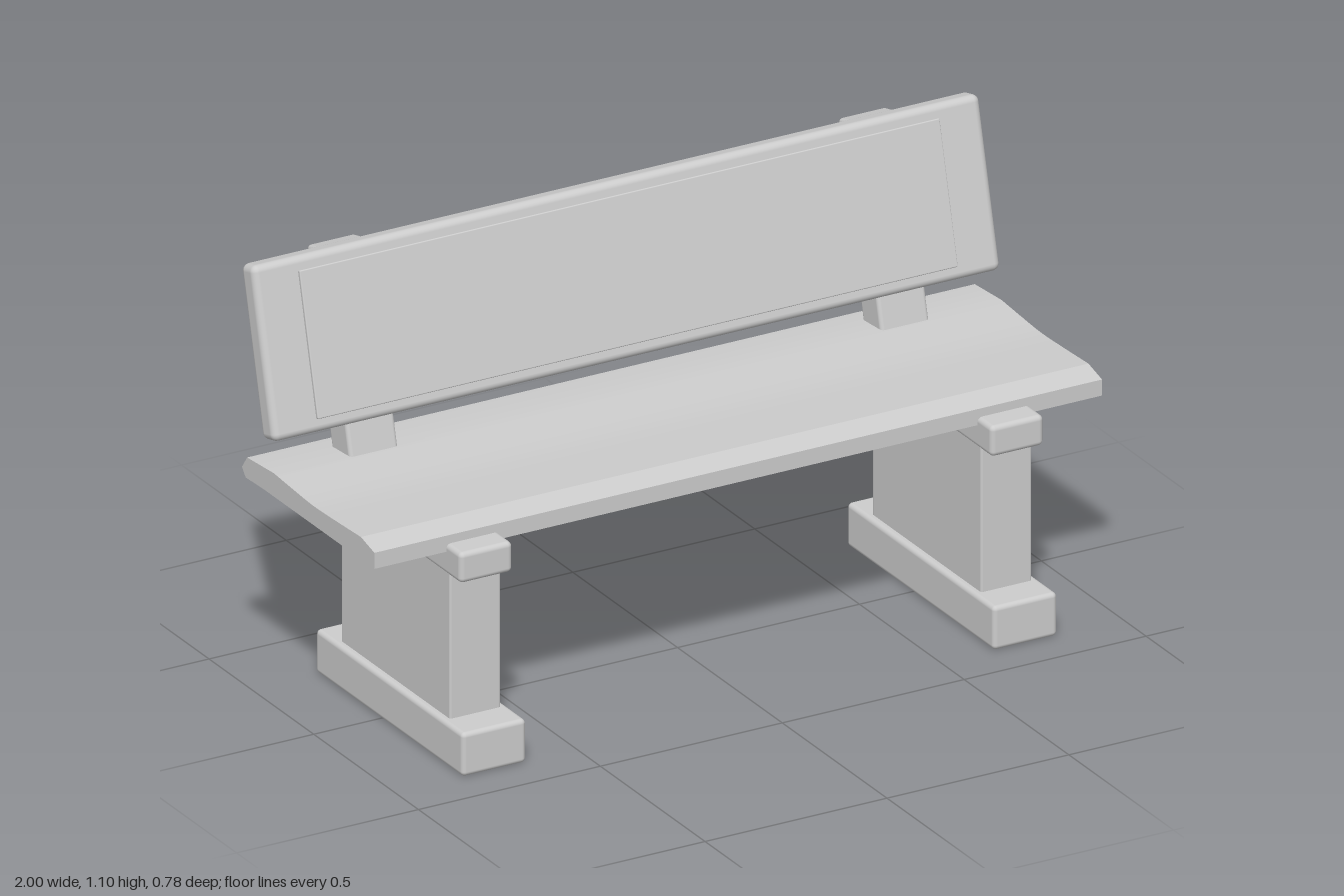
import * as THREE from 'three';
import { toCreasedNormals } from 'three/addons/utils/BufferGeometryUtils.js';
import { RoundedBoxGeometry } from 'three/addons/geometries/RoundedBoxGeometry.js';

const stone = new THREE.MeshStandardMaterial({ color: 0xcccccc });
stone.name = 'pale stone';

const TILT = -0.244; // backward lean of the backrest

function add(parent, name, geometry, x, y, z) {
  const mesh = new THREE.Mesh(geometry, stone);
  mesh.name = name;
  mesh.position.set(x, y, z);
  parent.add(mesh);
  return mesh;
}

const block = (w, h, d, r) => new RoundedBoxGeometry(w, h, d, 3, r);

// Seat plank: side profile (z, y) with a gently dished top, extruded along x
function seatGeometry() {
  const s = new THREE.Shape();
  s.moveTo(0.29, 0.55);
  s.lineTo(0.29, 0.592);
  s.lineTo(0.225, 0.608);
  s.splineThru([[0.11, 0.603], [0, 0.6], [-0.1, 0.605], [-0.19, 0.611]].map(p => new THREE.Vector2(...p)));
  s.lineTo(-0.318, 0.602);
  s.lineTo(-0.343, 0.568);
  s.lineTo(-0.325, 0.547);
  s.lineTo(-0.24, 0.55);
  s.closePath();
  const g = new THREE.ExtrudeGeometry(s, { depth: 2, bevelEnabled: false, curveSegments: 5 });
  g.rotateY(-Math.PI / 2).translate(1, 0, 0);
  return toCreasedNormals(g, 0.2);
}

// One support: foot, leg, seat bracket, leaning post and its bolt
function support(side) {
  const g = new THREE.Group();
  g.name = side > 0 ? 'leftSupport' : 'rightSupport';
  g.position.x = 0.73 * side;
  add(g, 'foot', block(0.176, 0.114, 0.703, 0.012), 0, 0.06, 0.043);
  add(g, 'leg', block(0.14, 0.42, 0.52, 0.006), 0, 0.315, 0.043);
  add(g, 'seatBracket', block(0.145, 0.08, 0.6, 0.013), 0, 0.53, 0.057);
  add(g, 'backPost', block(0.133, 0.585, 0.09, 0.01), 0, 0.811, -0.276).rotation.x = TILT;
  add(g, 'bolt', new THREE.CylinderGeometry(0.01, 0.01, 0.16, 16), 0, 0.537, -0.191).rotation.z = Math.PI / 2;
  return g;
}

export function createModel() {
  const bench = new THREE.Group();
  bench.name = 'bench';
  add(bench, 'seat', seatGeometry(), 0, 0, 0);

  // Backrest slab with a slightly raised front panel
  const back = new THREE.Group();
  back.name = 'backrest';
  back.position.set(0, 0.893, -0.271);
  back.rotation.x = TILT;
  add(back, 'backSlab', block(2, 0.433, 0.064, 0.018), 0, 0, 0);
  add(back, 'backPanel', block(1.76, 0.365, 0.02, 0.003), 0, 0, 0.03);
  bench.add(back);

  for (const side of [-1, 1]) bench.add(support(side));
  return bench;
}
